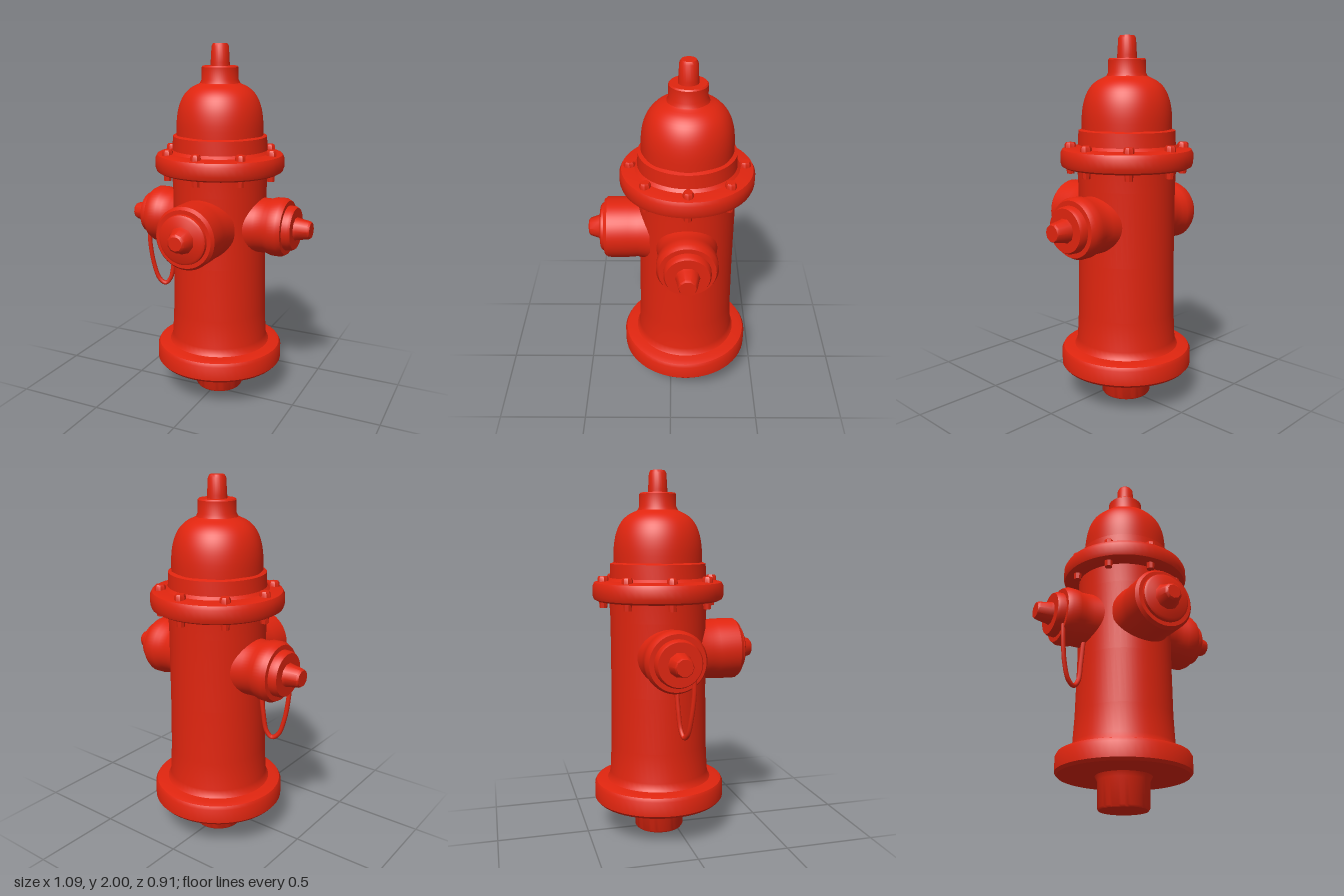
import * as THREE from 'three';
import { toCreasedNormals } from 'three/addons/utils/BufferGeometryUtils.js';

const red = new THREE.MeshStandardMaterial({ color: 0xe0250f });
red.name = 'hydrant red';

export function createModel() {
  const model = new THREE.Group();
  model.name = 'fireHydrant';
  // everything but the chain turns around this upright axis
  const hydrant = new THREE.Group();
  hydrant.name = 'hydrant';
  hydrant.position.z = -0.087;
  model.add(hydrant);

  const add = (name, geometry, parent = hydrant) => {
    const mesh = new THREE.Mesh(geometry, red);
    mesh.name = name;
    parent.add(mesh);
    return mesh;
  };
  // turned part from [radius, height] pairs, bottom to top, with sharp edges kept
  const turned = (profile, sides = 56) => toCreasedNormals(
    new THREE.LatheGeometry(profile.map(([r, y]) => new THREE.Vector2(r, y)), sides), 0.65);

  // buried stub and base flange
  add('baseStub', turned([[0, 0], [0.13, 0], [0.137, 0.01], [0.14, 0.15], [0.155, 0.18]]));
  add('baseFlange', turned([[0, 0.175], [0.352, 0.175], [0.365, 0.19], [0.365, 0.27],
    [0.355, 0.288], [0.33, 0.296], [0.27, 0.3]]));

  // barrel with a fillet at the foot
  add('barrel', turned([[0.3, 0.29], [0.285, 0.305], [0.276, 0.34], [0.268, 0.5],
    [0.264, 0.8], [0.264, 1.2], [0.27, 1.32]]));

  // bonnet flange and its raised collar
  add('bonnetFlange', turned([[0.25, 1.305], [0.335, 1.305], [0.353, 1.315], [0.36, 1.335],
    [0.36, 1.385], [0.35, 1.405], [0.33, 1.41], [0.28, 1.415], [0.265, 1.43],
    [0.261, 1.505], [0.235, 1.515]]));

  // domed bonnet with faint lobes
  const dome = new THREE.LatheGeometry(new THREE.SplineCurve([[0.242, 1.5], [0.24, 1.59],
    [0.227, 1.665], [0.2, 1.725], [0.16, 1.765], [0.11, 1.79], [0.09, 1.81]]
    .map(([r, y]) => new THREE.Vector2(r, y))).getPoints(20), 96);
  const p = dome.attributes.position;
  for (let i = 0; i < p.count; i++) {
    const k = 1 + 0.008 * Math.cos(8 * Math.atan2(p.getX(i), p.getZ(i)));
    p.setXYZ(i, p.getX(i) * k, p.getY(i), p.getZ(i) * k);
  }
  add('bonnetDome', dome);

  // top hub and operating nut
  add('topHub', turned([[0.115, 1.78], [0.1, 1.81], [0.1, 1.875], [0.094, 1.882], [0, 1.882]]));
  add('operatingNut', turned([[0.054, 1.87], [0.052, 1.9], [0.047, 1.985], [0.038, 2], [0, 2]], 24));

  // eight bolts through the bonnet flange
  for (let i = 0; i < 8; i++) {
    const a = i * Math.PI / 4;
    const bolt = new THREE.Group();
    bolt.name = 'flangeBolt';
    bolt.position.set(0.305 * Math.sin(a), 0, 0.305 * Math.cos(a));
    bolt.rotation.y = a;
    const head = add('boltHead', turned([[0.029, 1.39], [0.028, 1.43], [0.022, 1.44], [0, 1.44]], 8), bolt);
    head.scale.z = 1.1;
    add('boltEnd', turned([[0, 1.268], [0.021, 1.27], [0.024, 1.31]], 8), bolt);
    hydrant.add(bolt);
  }

  // hose outlets: neck, cap and nut, measured outward from the axis
  const outlet = (name, neck, cap, nut) => {
    const group = new THREE.Group();
    group.name = name;
    group.position.y = 1.02;
    add('neck', turned(neck), group);
    add('cap', turned(cap), group);
    add('capNut', turned(nut, 10), group);
    hydrant.add(group);
    return group;
  };
  const side = [
    [[0.165, 0.2], [0.153, 0.26], [0.152, 0.31], [0.162, 0.34], [0.163, 0.39], [0.15, 0.415], [0, 0.415]],
    [[0.125, 0.4], [0.123, 0.445], [0.115, 0.46], [0, 0.46]],
    [[0.068, 0.45], [0.06, 0.475], [0.05, 0.535], [0.044, 0.546], [0, 0.546]],
  ];
  outlet('leftOutlet', ...side).rotation.z = -Math.PI / 2;
  outlet('rightOutlet', ...side).rotation.z = Math.PI / 2;
  outlet('frontOutlet',
    [[0.18, 0.2], [0.167, 0.27], [0.171, 0.32], [0.171, 0.435], [0.157, 0.453], [0, 0.453]],
    [[0.138, 0.44], [0.132, 0.468], [0.12, 0.476], [0, 0.476]],
    [[0.08, 0.465], [0.065, 0.49], [0.05, 0.535], [0.038, 0.544], [0, 0.544]],
  ).rotation.x = Math.PI / 2;

  // cap chain hanging below the right outlet
  const chain = new THREE.CatmullRomCurve3([[-0.415, 0.93, 0], [-0.412, 0.85, 0], [-0.395, 0.72, -0.01],
    [-0.365, 0.63, -0.02], [-0.33, 0.605, -0.03], [-0.3, 0.64, -0.04], [-0.283, 0.75, -0.05],
    [-0.272, 0.85, -0.055], [-0.262, 0.92, -0.06]].map((v) => new THREE.Vector3(...v)));
  add('capChain', new THREE.TubeGeometry(chain, 60, 0.013, 8), model);

  return model;
}
